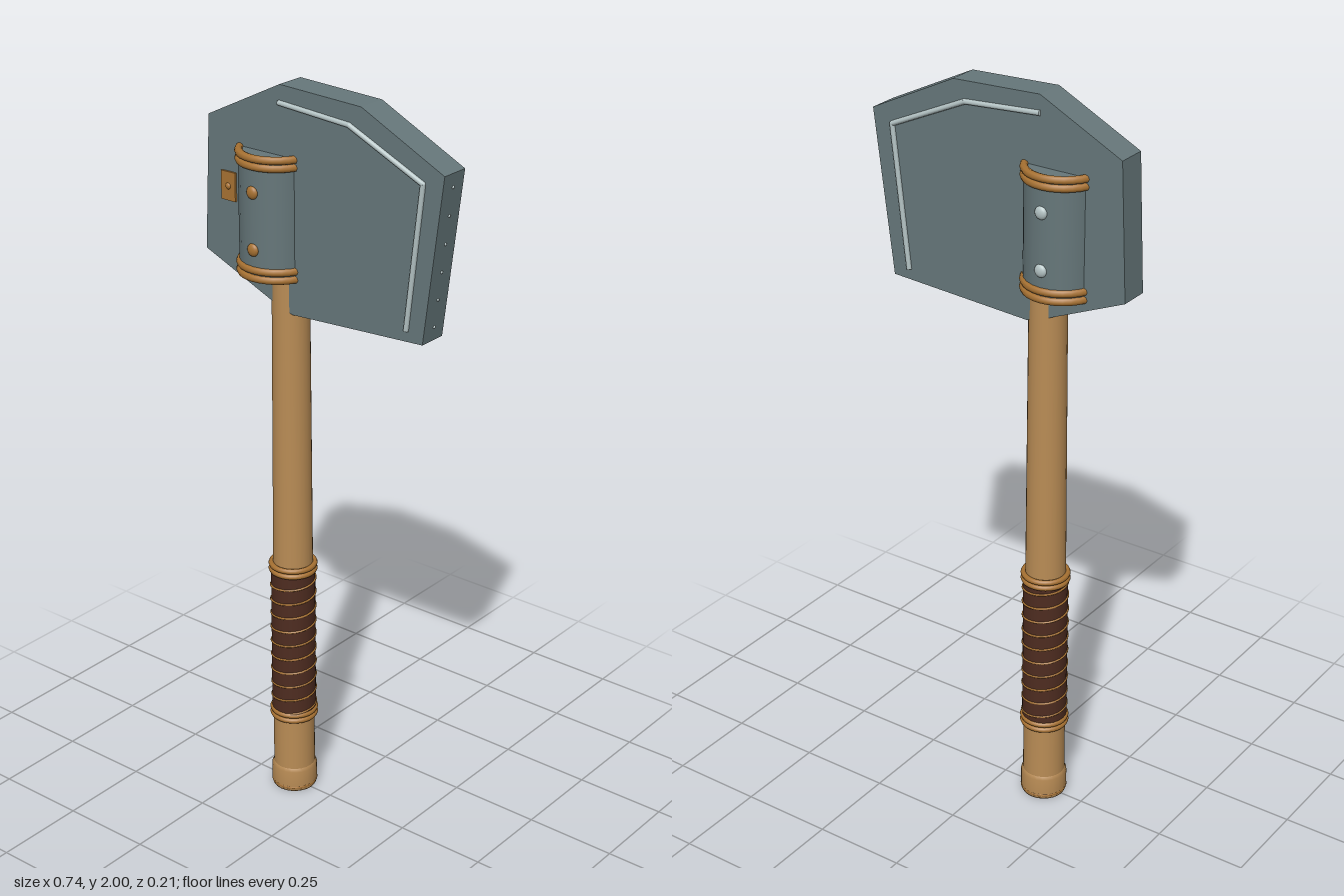
import * as THREE from 'three';

const mat = (name, color) => {
  const m = new THREE.MeshStandardMaterial({ color });
  m.name = name;
  return m;
};

export function createModel() {
  const steel = mat('steel', 0x66777a);
  const bright = mat('bright steel', 0xb4c3c4);
  const wood = mat('wood', 0xb98c55);
  const bronze = mat('bronze', 0xa87232);
  const leather = mat('leather', 0x4e2c20);
  const axe = new THREE.Group();
  axe.name = 'axe';

  const add = (name, geo, material, x = 0, y = 0, z = 0) => {
    const m = new THREE.Mesh(geo, material);
    m.name = name;
    m.position.set(x, y, z);
    axe.add(m);
    return m;
  };
  const HX = -0.127; // handle axis
  const CX = -0.168; // collar axis
  const ring = (name, x, y, r, t, material = bronze) => {
    const m = add(name, new THREE.TorusGeometry(r, t, 8, 32), material, x, y);
    m.rotation.x = Math.PI / 2;
  };
  const rod = (name, a, b, r, material) => {
    const m = add(name, new THREE.CylinderGeometry(r, r, a.distanceTo(b), 8), material);
    m.position.copy(a).add(b).multiplyScalar(0.5);
    m.quaternion.setFromUnitVectors(new THREE.Vector3(0, 1, 0), b.clone().sub(a).normalize());
  };

  // Slab head
  const outline = [
    [-0.372, 1.53], [-0.155, 1.437], [-0.09, 1.415], [0.315, 1.437],
    [0.37, 1.87], [0.125, 1.99], [-0.125, 2.0], [-0.355, 1.885],
  ].map(([x, y]) => new THREE.Vector2(x, y));
  add('head', new THREE.ExtrudeGeometry(new THREE.Shape(outline),
    { depth: 0.08, bevelEnabled: false }), steel, 0, 0, -0.04);

  // Raised bright line on both faces
  const line = [[-0.127, 1.955], [0.09, 1.94], [0.31, 1.84], [0.267, 1.463]];
  for (const z of [-0.042, 0.042]) {
    const pts = line.map(([x, y]) => new THREE.Vector3(x, y, z));
    for (let i = 0; i < 3; i++) rod('edgeLine', pts[i], pts[i + 1], 0.007, bright);
    for (const p of pts.slice(1, 3)) {
      add('edgeLineJoint', new THREE.SphereGeometry(0.007, 8, 6), bright, p.x, p.y, p.z);
    }
  }

  // Tiny studs along the striking edge
  for (let i = 0; i < 6; i++) {
    const t = (i + 0.5) / 6;
    add('edgeStud', new THREE.SphereGeometry(0.004, 8, 6), bright,
      0.315 + 0.055 * t, 1.437 + 0.433 * t, 0);
  }

  // Collar with paired bands and rivets
  add('collar', new THREE.CylinderGeometry(0.097, 0.097, 0.315, 24), steel, CX, 1.665);
  for (const y of [1.82, 1.8, 1.532, 1.511]) ring('collarBand', CX, y, 0.095, 0.0105);
  for (const side of [1, -1]) {
    for (const y of [1.733, 1.585]) {
      const rivet = add('collarRivet', new THREE.SphereGeometry(0.017, 16, 10),
        side > 0 ? bronze : bright, CX, y, side * 0.096);
      rivet.scale.z = 0.55;
    }
  }

  // Small riveted plaque
  add('plaque', new THREE.BoxGeometry(0.046, 0.075, 0.008), bronze, -0.29, 1.712, 0.042);
  add('plaqueRivet', new THREE.SphereGeometry(0.009, 12, 8), bronze, -0.29, 1.712, 0.044).scale.z = 0.8;

  // Tapered handle and pommel
  add('handle', new THREE.CylinderGeometry(0.047, 0.057, 1.72, 24), wood, HX, 0.9);
  const pommel = [[0, 0], [0.059, 0], [0.062, 0.008], [0.062, 0.062], [0.056, 0.072]]
    .map(([r, y]) => new THREE.Vector2(r, y));
  add('pommel', new THREE.LatheGeometry(pommel, 24), wood, HX);
  ring('pommelRing', HX, 0.012, 0.058, 0.005);

  // Leather grip with spiral wire and end rings
  add('grip', new THREE.CylinderGeometry(0.059, 0.06, 0.44, 24), leather, HX, 0.457);
  const spiral = [];
  const turns = 10;
  for (let i = 0; i <= turns * 16; i++) {
    const a = (i / 16) * Math.PI * 2;
    spiral.push(new THREE.Vector3(0.0595 * Math.sin(a), 0.245 + 0.425 * i / (turns * 16), 0.0595 * Math.cos(a)));
  }
  add('gripWire', new THREE.TubeGeometry(new THREE.CatmullRomCurve3(spiral), 320, 0.0032, 6), bronze, HX);
  for (const y of [0.688, 0.672, 0.243, 0.227]) ring('gripRing', HX, y, 0.058, 0.0075);

  return axe;
}
